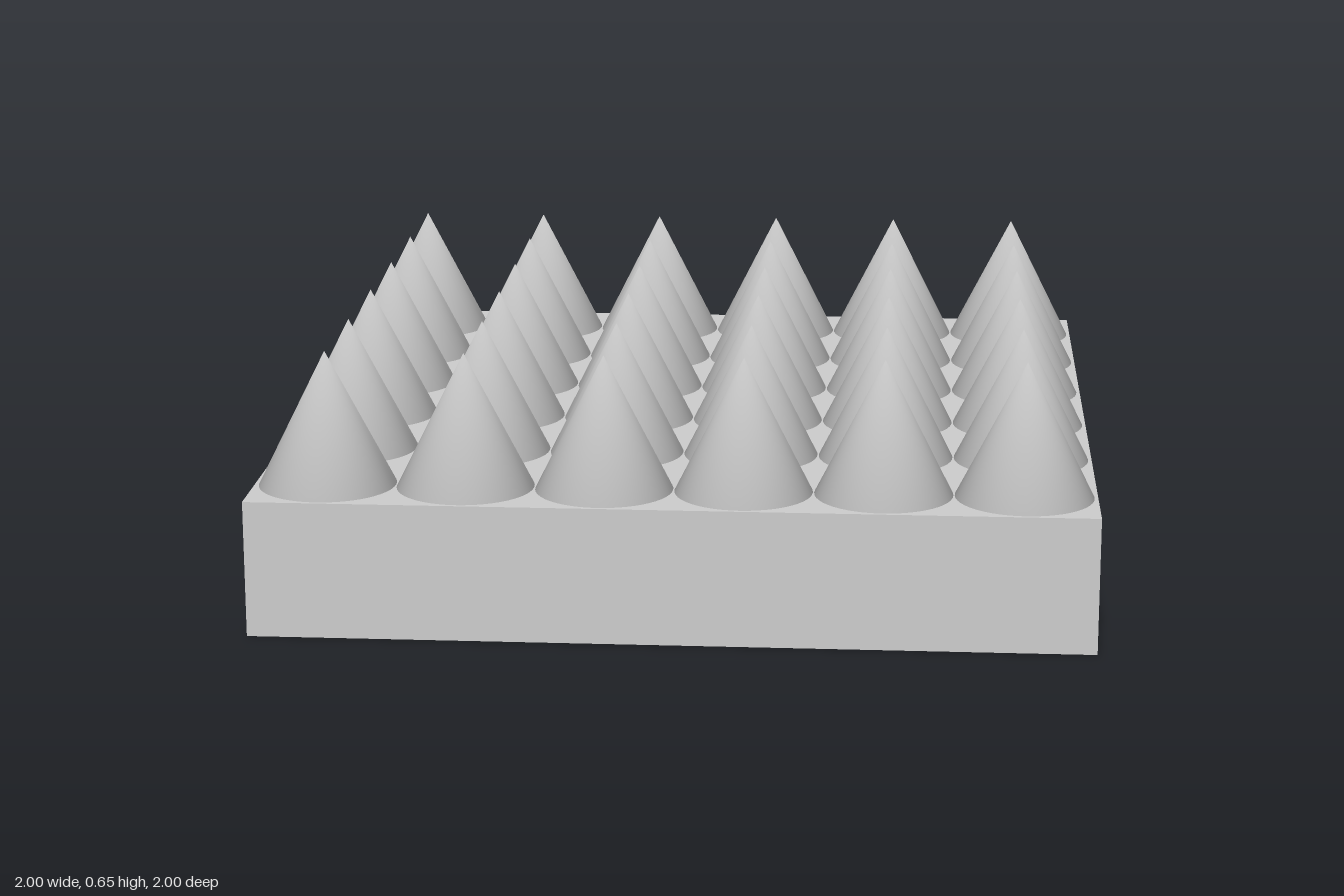
import * as THREE from 'three';
import { mergeVertices } from 'three/addons/utils/BufferGeometryUtils.js';

const BASE_HEIGHT = 0.33;
const SPIKE_HEIGHT = 0.325;
const SPIKE_RADIUS = 0.164;
const COUNT = 6;
const PITCH = 0.331;

// Cone with shared vertices, so the shading rounds softly from tip to rim
function spikeGeometry() {
  const cone = new THREE.ConeGeometry(SPIKE_RADIUS, SPIKE_HEIGHT, 48);
  cone.deleteAttribute('uv');
  cone.deleteAttribute('normal');
  const merged = mergeVertices(cone, 1e-4);
  merged.computeVertexNormals();
  return merged;
}

export function createModel() {
  const model = new THREE.Group();
  model.name = 'spikedBlock';
  const material = new THREE.MeshStandardMaterial({ color: 0xcccccc });

  // Square base slab
  const base = new THREE.Mesh(new THREE.BoxGeometry(2, BASE_HEIGHT, 2), material);
  base.name = 'baseSlab';
  base.position.y = BASE_HEIGHT / 2;
  model.add(base);

  // Grid of conical spikes standing on the slab
  const spikes = new THREE.Group();
  spikes.name = 'spikes';
  const geometry = spikeGeometry();
  const offset = (i) => (i - (COUNT - 1) / 2) * PITCH;
  for (let row = 0; row < COUNT; row++) {
    for (let column = 0; column < COUNT; column++) {
      const spike = new THREE.Mesh(geometry, material);
      spike.name = `spike_${row + 1}_${column + 1}`;
      spike.position.set(offset(column), BASE_HEIGHT + SPIKE_HEIGHT / 2, offset(row));
      spikes.add(spike);
    }
  }
  model.add(spikes);

  return model;
}
